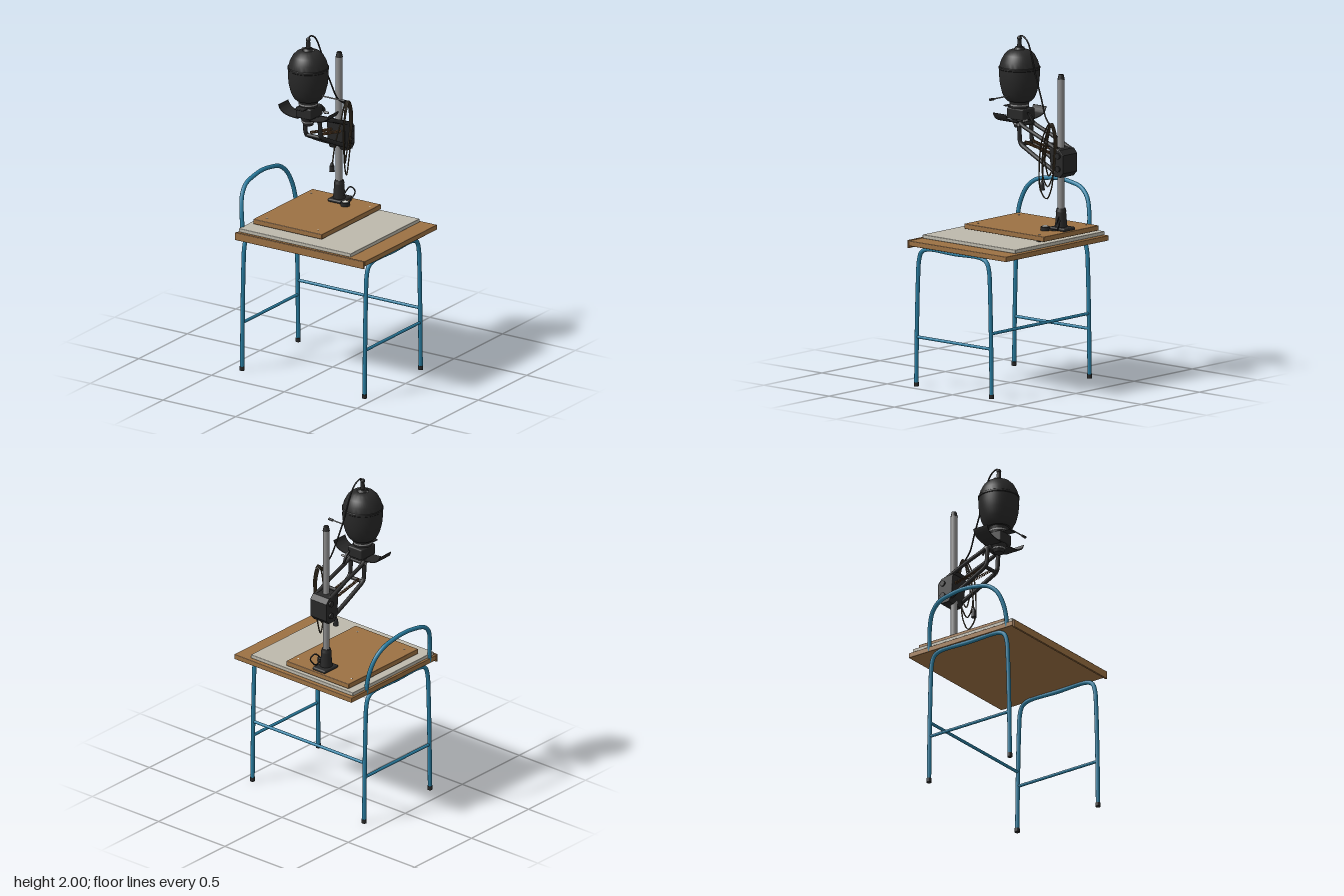
import * as THREE from 'three';
import { toCreasedNormals } from 'three/addons/utils/BufferGeometryUtils.js';
import { RoundedBoxGeometry } from 'three/addons/geometries/RoundedBoxGeometry.js';

const mat = (name, color, side = THREE.FrontSide) => {
  const m = new THREE.MeshStandardMaterial({ color, side });
  m.name = name;
  return m;
};

export function createModel() {
  const root = new THREE.Group();
  root.name = 'enlargerOnTable';
  const blue = mat('blue paint', 0x2a7fa3);
  const wood = mat('wood', 0x9c7143);
  const pale = mat('pale board', 0xbdb9ac);
  const black = mat('black enamel', 0x282828, THREE.DoubleSide);
  const steel = mat('steel', 0x8e8e8e);
  const cord = mat('cord', 0x4a3f2e);
  const copper = mat('spring copper', 0x7a5430);
  const white = mat('white', 0xdcdcd6);

  const v = (p) => new THREE.Vector3(...p);
  const add = (name, geo, m, p = [0, 0, 0], parent = root) => {
    const mesh = new THREE.Mesh(geo, m);
    mesh.name = name;
    mesh.position.set(...p);
    parent.add(mesh);
    return mesh;
  };
  // box given by its min and max corners
  const box = (name, m, a, b, r = 0.003) => {
    const s = b.map((n, i) => n - a[i]);
    return add(name, new RoundedBoxGeometry(...s, 2, r), m, b.map((n, i) => (n + a[i]) / 2));
  };
  const cyl = (name, m, x, z, y0, y1, r0, r1 = r0, seg = 32) =>
    add(name, new THREE.CylinderGeometry(r1, r0, y1 - y0, seg), m, [x, (y0 + y1) / 2, z]);
  const rod = (name, m, a, b, r) => {
    const A = v(a), B = v(b), d = B.clone().sub(A);
    const mesh = add(name, new THREE.CylinderGeometry(r, r, d.length(), 16), m);
    mesh.position.copy(A).add(B).multiplyScalar(0.5);
    mesh.quaternion.setFromUnitVectors(new THREE.Vector3(0, 1, 0), d.normalize());
    return mesh;
  };
  const tube = (name, m, pts, r, n = 64, closed = false) =>
    add(name, new THREE.TubeGeometry(new THREE.CatmullRomCurve3(pts.map(v), closed), n, r, 12, closed), m);

  // Table top with front lip, and the boards lying on it
  box('tableTop', wood, [-0.42, 0.815, -0.378], [0.465, 0.845, 0.366]);
  box('tableFrontLip', wood, [-0.42, 0.802, 0.366], [0.465, 0.848, 0.379]);
  box('paleBoard', pale, [-0.41, 0.846, -0.355], [0.36, 0.868, 0.355], 0.004);
  box('baseboard', wood, [-0.37, 0.876, -0.345], [0.102, 0.906, 0.266], 0.004);
  for (const [x, z] of [[-0.335, -0.28], [0.067, -0.28], [-0.31, 0.212], [0.042, 0.212]]) {
    cyl('boardFoot', black, x, z, 0.867, 0.878, 0.018);
    cyl('boardScrew', white, x, z, 0.904, 0.908, 0.005, 0.005, 12);
  }

  // Leg hoops, one at each end of the table
  for (const x of [-0.402, 0.44]) {
    tube('legHoop', blue, [[x, 0.01, 0.331], [x, 0.3, 0.327], [x, 0.62, 0.318], [x, 0.735, 0.31],
      [x, 0.785, 0.292], [x, 0.806, 0.25], [x, 0.806, 0.04], [x, 0.806, -0.17],
      [x, 0.785, -0.21], [x, 0.735, -0.227], [x, 0.62, -0.234], [x, 0.3, -0.242], [x, 0.01, -0.246]], 0.0125, 120);
    rod('sideRail', blue, [x, 0.288, 0.327], [x, 0.288, -0.242], 0.009);
    for (const z of [0.331, -0.246]) cyl('legFoot', black, x, z, 0, 0.024, 0.0145);
  }
  rod('backRail', blue, [-0.402, 0.376, -0.24], [0.44, 0.376, -0.24], 0.009);

  // Push handle leaning out past the table end
  tube('handle', blue, [[-0.408, 0.82, 0.316], [-0.413, 0.88, 0.314], [-0.425, 0.96, 0.303],
    [-0.442, 1.04, 0.272], [-0.453, 1.09, 0.215], [-0.456, 1.113, 0.12], [-0.457, 1.12, 0.04],
    [-0.456, 1.113, -0.04], [-0.453, 1.09, -0.135], [-0.442, 1.04, -0.192],
    [-0.425, 0.96, -0.223], [-0.413, 0.88, -0.234], [-0.408, 0.82, -0.236]], 0.0125, 110);

  // Column with its foot and a round dial
  const cx = -0.134, cz = -0.267;
  cyl('column', steel, cx, cz, 0.92, 1.785, 0.02);
  cyl('columnCap', black, cx, cz, 1.78, 1.81, 0.021, 0.014);
  box('columnFlange', black, [-0.182, 0.905, -0.335], [-0.086, 0.924, -0.215], 0.008);
  cyl('columnSocket', black, cx, cz, 0.92, 1.015, 0.036, 0.028);
  cyl('socketRing', black, cx, cz, 1.012, 1.032, 0.031, 0.025);
  cyl('dialBody', black, -0.057, -0.214, 0.905, 0.928, 0.026);
  cyl('dialFace', white, -0.057, -0.214, 0.928, 0.932, 0.018);

  // Carriage sliding on the column: extruded side profile
  const side = new THREE.Shape([[0.235, 1.385], [0.31, 1.375], [0.332, 1.35], [0.332, 1.25],
    [0.31, 1.226], [0.262, 1.228], [0.245, 1.26]].map((p) => new THREE.Vector2(...p)));
  const carriage = add('carriage', new THREE.ExtrudeGeometry(side, { depth: 0.112, bevelSize: 0.006,
    bevelThickness: 0.006, bevelSegments: 2 }), black, [-0.19, 0, 0]);
  carriage.rotation.y = Math.PI / 2;
  for (const x of [-0.2, -0.068]) for (const y of [1.27, 1.345])
    rod('pivotBolt', black, [x - 0.006, y, -0.3], [x + 0.006, y, -0.3], 0.017);

  // Parallelogram arms, mirrored about the column, with springs
  for (const s of [-1, 1]) {
    const x = cx + s * 0.051;
    tube('upperArm', black, [[x, 1.5, 0.005], [x, 1.484, -0.02], [x, 1.435, -0.15], [x, 1.372, -0.3]], 0.0115, 32);
    tube('lowerArm', black, [[x, 1.5, 0.012], [x, 1.44, 0.006], [x, 1.392, 0.002], [x, 1.372, -0.014],
      [x, 1.35, -0.055], [x, 1.3, -0.155], [x, 1.245, -0.275]], 0.0125, 48);
    const coil = [];
    const sx = cx + s * 0.03;
    for (let i = 0; i <= 168; i++) {
      const t = i / 168, a = t * Math.PI * 42;
      coil.push([sx + 0.007 * Math.cos(a), 1.388 - 0.05 * t + 0.007 * Math.sin(a), -0.02 - 0.24 * t]);
    }
    add('spring', new THREE.TubeGeometry(new THREE.CatmullRomCurve3(coil.map(v)), 400, 0.0026, 5), copper);
  }
  for (const [y, z] of [[1.375, -0.005], [1.49, 0.0], [1.4, -0.225]])
    rod('armCrossbar', black, [cx - 0.055, y, z], [cx + 0.055, y, z], 0.011);
  rod('steelPivot', steel, [cx - 0.064, 1.49, 0.005], [cx + 0.064, 1.49, 0.005], 0.009);

  // Lamp head
  const hz = 0.052;
  const profile = [[0.001, 1.917], [0.04, 1.916], [0.065, 1.907], [0.088, 1.885], [0.106, 1.85], [0.115, 1.818],
    [0.119, 1.815], [0.119, 1.805], [0.116, 1.802], [0.117, 1.765], [0.112, 1.715], [0.1, 1.665],
    [0.083, 1.63], [0.07, 1.618], [0.001, 1.617]].reverse().map((p) => new THREE.Vector2(...p));
  add('lampHousing', toCreasedNormals(new THREE.LatheGeometry(profile, 48), 0.6), black, [cx, 0, hz]);
  cyl('topCollar', black, cx, hz, 1.912, 1.93, 0.036, 0.024);
  cyl('topStem', black, cx, hz, 1.925, 1.975, 0.014, 0.011);
  add('topKnob', new THREE.SphereGeometry(0.014, 20, 12), black, [cx, 1.98, hz]);
  for (const s of [-1, 1]) add('topScrew', new THREE.SphereGeometry(0.006, 10, 8), steel, [cx + s * 0.036, 1.921, hz]);
  rod('leverRod', steel, [cx, 1.657, hz], [0.1, 1.657, hz], 0.004);
  rod('leverGrip', black, [0.09, 1.657, hz], [0.12, 1.657, hz], 0.0075);

  // Neck, negative stage and lens below the lamp
  cyl('neck', black, cx, hz, 1.57, 1.62, 0.052, 0.058);
  cyl('neckRing', steel, cx, hz, 1.591, 1.599, 0.0555);
  box('negativeStage', black, [-0.187, 1.513, -0.02], [-0.081, 1.578, 0.104], 0.008);
  box('stageTray', black, [-0.165, 1.576, 0.05], [-0.105, 1.583, 0.148], 0.002);
  cyl('lensMount', black, cx, hz, 1.49, 1.515, 0.038, 0.048);
  cyl('lensRing', steel, cx, hz, 1.483, 1.491, 0.038);
  cyl('lens', black, cx, hz, 1.463, 1.484, 0.029, 0.035);
  box('armYoke', black, [-0.185, 1.478, -0.005], [-0.083, 1.515, 0.03], 0.006);
  rod('focusShaft', steel, [-0.09, 1.52, -0.045], [-0.06, 1.52, -0.045], 0.007);

  // Curved light shields sweeping out and up on both sides
  const flap = new THREE.Shape();
  flap.moveTo(0.04, 1.505);
  flap.bezierCurveTo(0.12, 1.505, 0.165, 1.52, 0.175, 1.565);
  flap.lineTo(0.171, 1.565);
  flap.bezierCurveTo(0.16, 1.525, 0.12, 1.509, 0.04, 1.509);
  for (const s of [0, 1]) {
    const m = add('lightShield', toCreasedNormals(new THREE.ExtrudeGeometry(flap, { depth: 0.1,
      bevelEnabled: false, curveSegments: 16 }), 0.6), black, [cx, 0, s ? 0.1 : 0]);
    m.rotation.y = s * Math.PI;
  }
  // Fan-shaped scale behind the stage
  const fan = new THREE.Shape();
  fan.moveTo(0.005, 1.505);
  fan.absarc(0.02, 1.5, 0.062, -0.1, 1.35, false);
  const scale = add('fanScale', new THREE.ExtrudeGeometry(fan, { depth: 0.012, bevelEnabled: false }), black, [cx + 0.02, 0, 0]);
  scale.rotation.y = Math.PI / 2;

  // Power cord from the lamp top, hanging in loops over the carriage
  tube('lampCord', black, [[cx, 1.985, hz], [-0.132, 1.997, 0.035], [-0.128, 1.975, -0.01], [-0.122, 1.9, -0.05],
    [-0.115, 1.78, -0.09], [-0.105, 1.66, -0.14], [-0.09, 1.56, -0.185], [-0.075, 1.52, -0.23]], 0.0045, 80);
  for (const [i, bottom] of [1.09, 1.16, 1.22].entries()) {
    const x = -0.055 - i * 0.01, w = 0.012 * i;
    tube('cordLoop', cord, [[x, 1.53, -0.25], [x + 0.006, 1.44, -0.2 - w], [x + 0.01, 1.3, -0.18 - w],
      [x + 0.012, bottom + 0.05, -0.19 - w], [x, bottom, -0.225], [x - 0.008, bottom + 0.06, -0.255],
      [x - 0.004, 1.3, -0.275], [x, 1.46, -0.282]], 0.004, 90, true);
  }
  tube('plugCord', cord, [[-0.075, 1.52, -0.235], [-0.08, 1.4, -0.195], [-0.095, 1.28, -0.165], [-0.103, 1.17, -0.15]], 0.004, 40);
  cyl('plug', black, -0.104, -0.148, 1.125, 1.16, 0.016, 0.013, 20);
  cyl('plugNeck', black, -0.104, -0.148, 1.16, 1.178, 0.012, 0.006, 16);
  tube('floorCord', black, [[-0.11, 0.925, -0.25], [-0.08, 0.99, -0.3], [-0.06, 0.96, -0.32], [-0.07, 0.915, -0.29],
    [-0.06, 0.912, -0.235]], 0.004, 40);
  return root;
}
